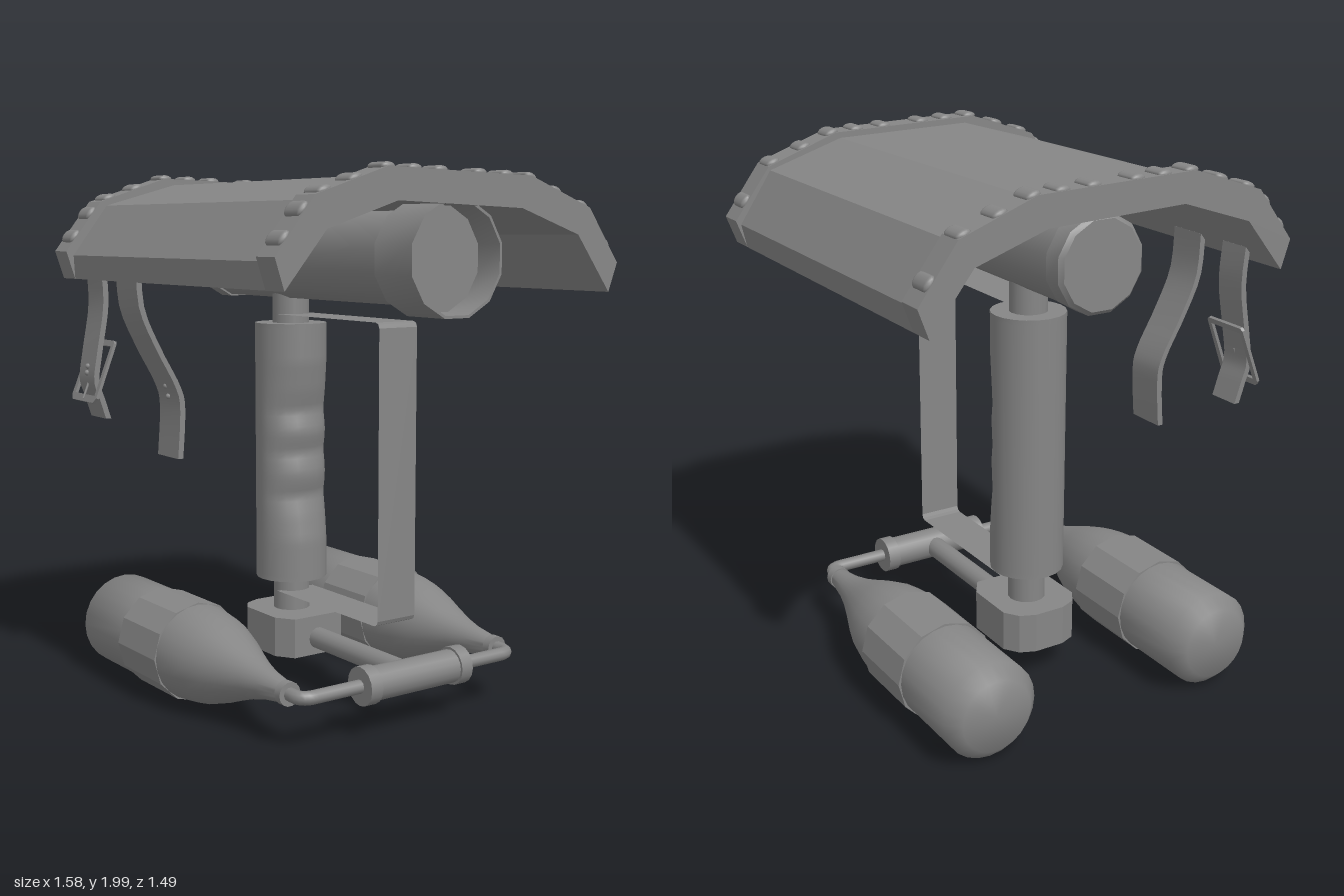
import * as THREE from 'three';
import { toCreasedNormals } from 'three/addons/utils/BufferGeometryUtils.js';

const color = 0x868686;
const smooth = new THREE.MeshStandardMaterial({ color, side: THREE.DoubleSide });
const flat = new THREE.MeshStandardMaterial({ color, side: THREE.DoubleSide, flatShading: true });

export function createModel() {
  const model = new THREE.Group();

  const add = (name, geometry, material = smooth, x = 0, y = 0, z = 0) => {
    const mesh = new THREE.Mesh(geometry, material);
    mesh.name = name;
    mesh.position.set(x, y, z);
    model.add(mesh);
    return mesh;
  };
  const shapeOf = pts => new THREE.Shape(pts.map(p => new THREE.Vector2(...p)));
  // Extrude a [z, y] outline from x0 to x1
  const extrudeX = (pts, x0, x1) =>
    new THREE.ExtrudeGeometry(shapeOf(pts), { depth: x1 - x0, bevelEnabled: false })
      .rotateY(-Math.PI / 2).translate(x1, 0, 0);
  // Revolve an [x, radius] profile about the x axis
  const latheX = (pts, sides = 12, crease = 0.6) => toCreasedNormals(
    new THREE.LatheGeometry(pts.map(([x, r]) => new THREE.Vector2(r, x)), sides).rotateZ(-Math.PI / 2), crease);
  // Linear interpolation through [t, value] pairs in rising order
  const sample = (table, t) => {
    const i = Math.max(1, table.findIndex(p => p[0] >= t));
    const [[a, va], [b, vb]] = [table[i - 1], table[i]];
    return THREE.MathUtils.lerp(va, vb, THREE.MathUtils.clamp((t - a) / (b - a), 0, 1));
  };

  // Arched canopy with thicker trims at both ends
  const inner = [[-0.70, 1.565], [-0.54, 1.77], [-0.27, 1.86], [0.27, 1.88], [0.55, 1.79], [0.71, 1.60]];
  const roofTop = [[0.715, 1.69], [0.57, 1.88], [0.27, 1.963], [-0.29, 1.948], [-0.59, 1.85], [-0.72, 1.655]];
  const trimTop = [[0.745, 1.705], [0.595, 1.895], [0.31, 1.988], [-0.31, 1.97], [-0.595, 1.865], [-0.74, 1.67]];
  add('canopy', extrudeX([...inner, ...roofTop], -0.66, 0.685), flat);
  const trimLine = [...trimTop].reverse();
  const bumpZ = [-0.69, -0.57, -0.44, -0.32, -0.21, -0.09, 0.08, 0.19, 0.30, 0.43, 0.55, 0.63, 0.70];
  const stitchGeo = new THREE.CapsuleGeometry(1, 4, 4, 12).rotateZ(Math.PI / 2).scale(0.016, 0.015, 0.029);
  for (const [x0, x1] of [[-0.755, -0.655], [0.68, 0.785]]) {
    add('canopyTrim', extrudeX([...inner, ...trimTop], x0, x1), flat);
    // Raised stitches over the trim
    for (const z of bumpZ) {
      const slope = (sample(trimLine, z + 0.01) - sample(trimLine, z - 0.01)) / 0.02;
      const stitch = add('trimStitch', stitchGeo, smooth, (x0 + x1) / 2, sample(trimLine, z), z);
      stitch.rotation.x = -Math.atan(slope);
    }
  }

  // Lamp under the canopy: body, tail cap and hollow head with a recessed lens
  const lamp = (name, profile) => add(name, latheX(profile).rotateX(Math.PI / 12), smooth, 0, 1.69, 0);
  lamp('lampBody', [[-0.62, 0.168], [0.60, 0.168]]);
  lamp('lampTail', [[-0.675, 0], [-0.675, 0.16], [-0.66, 0.175], [-0.59, 0.175], [-0.59, 0.165]]);
  lamp('lampHead', [[0.562, 0.165], [0.565, 0.204], [0.765, 0.204], [0.765, 0.194], [0.66, 0.188], [0.66, 0]]);

  // Handle with finger grooves on the +x side
  const grip = new THREE.CylinderGeometry(0.14, 0.14, 1.01, 20, 48).translate(0, 0.925, 0);
  const grooves = [[0.42, 1], [0.58, 0.99], [0.68, 0.87], [0.76, 0.73], [0.80, 0.82], [0.845, 0.87], [0.89, 0.81],
    [0.93, 0.73], [0.97, 0.82], [1.01, 0.87], [1.05, 0.81], [1.09, 0.73], [1.17, 0.87], [1.28, 0.99], [1.44, 1]];
  const gp = grip.attributes.position;
  for (let i = 0; i < gp.count; i++) {
    if (gp.getX(i) > 0) gp.setX(i, gp.getX(i) * sample(grooves, gp.getY(i)));
  }
  add('handle', toCreasedNormals(grip, 0.7), smooth, -0.225);
  add('handleTopNeck', new THREE.CylinderGeometry(0.072, 0.072, 0.13, 16), smooth, -0.225, 1.485);
  add('handleBottomNeck', new THREE.CylinderGeometry(0.072, 0.072, 0.17, 16), smooth, -0.225, 0.355);

  // Thin hand guard looping from neck to neck
  const guardPath = [[-0.2, 1.465], [0.43, 1.465], [0.444, 1.459], [0.45, 1.445],
    [0.45, 0.388], [0.444, 0.374], [0.43, 0.368], [-0.2, 0.368]];
  const guard = new THREE.PlaneGeometry(1, 1, guardPath.length - 1, 1);
  guardPath.forEach(([x, y], i) => [0.085, -0.085].forEach((z, row) =>
    guard.attributes.position.setXYZ(row * guardPath.length + i, x, y, z)));
  add('handGuard', guard, flat);

  // Base block: rounded rear and tapered front corners
  const base = shapeOf([[-0.04, -0.11], [-0.04, 0.11], [-0.11, 0.157], [-0.31, 0.157], [-0.365, 0.12],
    [-0.39, 0.06], [-0.39, -0.06], [-0.365, -0.12], [-0.31, -0.157], [-0.11, -0.157]]);
  add('baseBlock', new THREE.ExtrudeGeometry(base, { depth: 0.155, bevelEnabled: false }).rotateX(-Math.PI / 2),
    flat, 0, 0.135, 0);

  // Connecting rod and cross tube
  add('connectingRod', new THREE.CylinderGeometry(0.042, 0.042, 0.65, 14).rotateZ(Math.PI / 2), smooth, 0.22, 0.2, 0);
  add('crossTube', new THREE.CylinderGeometry(0.062, 0.062, 0.42, 16).rotateX(Math.PI / 2), smooth, 0.54, 0.2, 0);

  // Mirrored bottles, pipes and collars
  const bottle = [[-0.79, 0], [-0.79, 0.135], [-0.742, 0.182], [-0.43, 0.182], [-0.15, 0.185], [-0.07, 0.176],
    [0, 0.163], [0.08, 0.138], [0.17, 0.104], [0.25, 0.076], [0.33, 0.055], [0.44, 0.038]];
  for (const s of [1, -1]) {
    const z = 0.48 * s;
    add('bottle', latheX(bottle, 24, 0.82), smooth, 0, 0.2, z);
    add('bottleBand', latheX([[-0.435, 0.17], [-0.435, 0.192], [-0.148, 0.192], [-0.148, 0.17]]), flat, 0, 0.2, z);
    add('bottleCollar', latheX([[0.435, 0], [0.435, 0.044], [0.468, 0.044], [0.468, 0]], 14), smooth, 0, 0.2, z);
    const pipe = new THREE.CurvePath();
    const v = (x, zz) => new THREE.Vector3(x, 0.2, zz * s);
    pipe.add(new THREE.LineCurve3(v(0.45, 0.48), v(0.49, 0.48)));
    pipe.add(new THREE.QuadraticBezierCurve3(v(0.49, 0.48), v(0.54, 0.48), v(0.54, 0.43)));
    pipe.add(new THREE.LineCurve3(v(0.54, 0.43), v(0.54, 0.2)));
    add('pipe', new THREE.TubeGeometry(pipe, 28, 0.025, 10));
    add('tubeCollar', new THREE.CylinderGeometry(0.071, 0.071, 0.05, 16).rotateX(Math.PI / 2), smooth, 0.54, 0.2, 0.207 * s);
  }

  // Hanging straps, paths given as [z, y]
  const strap = (name, path, x0, x1) => {
    const pts = new THREE.SplineCurve(path.map(p => new THREE.Vector2(...p))).getPoints(16);
    const edge = d => pts.map(p => [p.x + d, p.y]);
    add(name, toCreasedNormals(extrudeX([...edge(-0.011), ...edge(0.011).reverse()], x0, x1), 0.6));
  };
  strap('buckleStrap', [[0.67, 1.66], [0.66, 1.51], [0.69, 1.33], [0.706, 1.22], [0.685, 1.15], [0.659, 1.07]], -0.625, -0.5);
  strap('longStrap', [[0.67, 1.66], [0.657, 1.5], [0.59, 1.35], [0.513, 1.21], [0.493, 1.12], [0.505, 0.935]], -0.375, -0.22);

  // Buckle frame with pin
  const frame = shapeOf([[-0.085, -0.125], [0.085, -0.125], [0.102, -0.105], [0.098, 0.115], [0.088, 0.125],
    [-0.088, 0.125], [-0.098, 0.115], [-0.102, -0.105]]);
  frame.holes.push(shapeOf([[-0.08, -0.097], [-0.08, 0.102], [0.08, 0.102], [0.08, -0.097]]));
  const frameGeo = new THREE.ExtrudeGeometry(frame, { depth: 0.012, bevelEnabled: false });
  const buckle = add('buckle', frameGeo, flat, -0.558, 1.25, 0.682);
  buckle.rotation.x = -0.38;
  const pin = new THREE.Mesh(new THREE.CylinderGeometry(0.005, 0.005, 0.12, 6), smooth);
  pin.name = 'bucklePin';
  pin.position.set(0, -0.055, 0.012);
  buckle.add(pin);

  // Strap rivets
  for (const [x, y, z] of [[-0.56, 1.27, 0.712], [-0.56, 1.245, 0.716], [-0.298, 1.205, 0.52], [-0.298, 1.165, 0.51]]) {
    add('strapRivet', new THREE.SphereGeometry(0.011, 8, 6), smooth, x, y, z);
  }

  return model;
}
